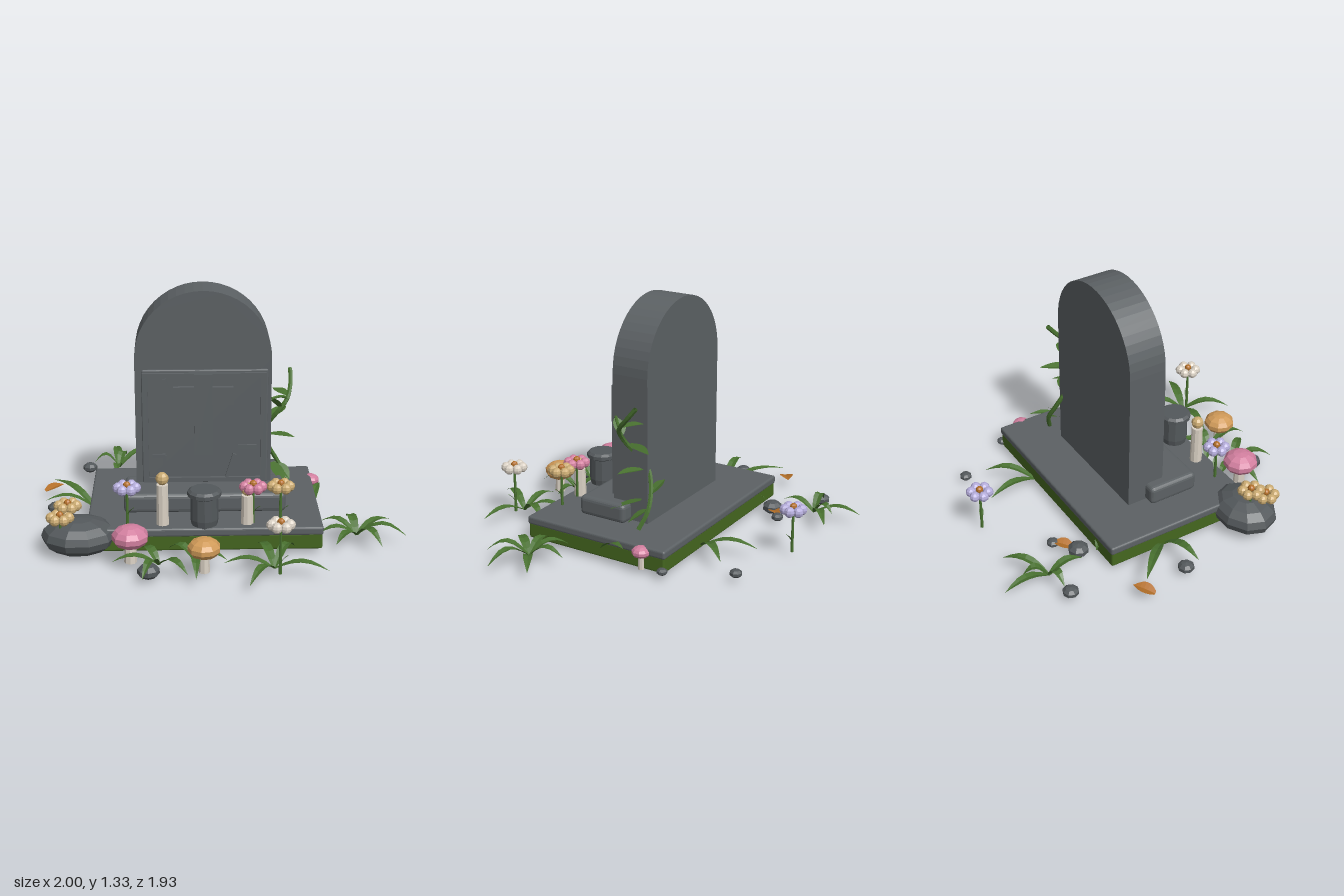
import * as THREE from 'three';
import { RoundedBoxGeometry } from 'three/addons/geometries/RoundedBoxGeometry.js';

const mat = (name, color, extra = {}) => {
  const m = new THREE.MeshStandardMaterial({ color, flatShading: true, ...extra });
  m.name = name;
  return m;
};

export function createModel() {
  const M = {
    stone: mat('stone', 0x5c6164),
    pebble: mat('darkStone', 0x53585b),
    moss: mat('moss', 0x44661f),
    leaf: mat('leafGreen', 0x48702f, { side: THREE.DoubleSide }),
    pink: mat('pink', 0xd27f9f),
    orange: mat('orange', 0xd09a58),
    tan: mat('tan', 0xcbab72),
    lavender: mat('lavender', 0xb5addb),
    cream: mat('cream', 0xd9d0c3),
    rust: mat('rust', 0xb36f28, { side: THREE.DoubleSide }),
  };
  const root = new THREE.Group();
  root.name = 'graveyardScene';
  const add = (name, geo, m, x = 0, y = 0, z = 0, parent = root) => {
    const mesh = new THREE.Mesh(geo, m);
    mesh.name = name;
    mesh.position.set(x, y, z);
    parent.add(mesh);
    return mesh;
  };
  const group = (name, x, y, z) => {
    const g = new THREE.Group();
    g.name = name;
    g.position.set(x, y, z);
    root.add(g);
    return g;
  };
  // box given by its min and max corners
  const block = (name, m, a, b, r = 0) => {
    const s = b.map((v, i) => v - a[i]);
    const geo = r ? new RoundedBoxGeometry(s[0], s[1], s[2], 2, r) : new THREE.BoxGeometry(...s);
    return add(name, geo, m, ...a.map((v, i) => (v + b[i]) / 2));
  };

  // Slab and plinth
  block('mossySlabBase', M.moss, [-0.705, 0.03, -0.385], [0.53, 0.12, 0.48], 0.01);
  block('slabTop', M.stone, [-0.71, 0.11, -0.39], [0.535, 0.157, 0.485], 0.012);
  block('plinth', M.stone, [-0.52, 0.15, -0.02], [0.35, 0.26, 0.27], 0.025);

  // Headstone with round top
  const cx = -0.088, r = 0.367, cy = 0.966;
  const arch = new THREE.Shape();
  arch.moveTo(cx - r, 0.15);
  arch.lineTo(cx + r, 0.15);
  arch.lineTo(cx + r, cy);
  arch.absarc(cx, cy, r, 0, Math.PI, false);
  const archGeo = new THREE.ExtrudeGeometry(arch, { depth: 0.215, bevelEnabled: false, curveSegments: 12 });
  add('headstone', archGeo, M.stone, 0, 0, -0.127);

  // Inset panel, frame, cross and cracks
  block('panel', M.stone, [-0.42, 0.26, 0.08], [0.26, 0.905, 0.1], 0.008);
  block('frameTop', M.stone, [-0.415, 0.865, 0.09], [0.25, 0.89, 0.117]);
  block('frameBottom', M.stone, [-0.415, 0.27, 0.09], [0.25, 0.295, 0.117]);
  for (const x of [-0.415, 0.22]) block('frameSide', M.stone, [x, 0.27, 0.09], [x + 0.03, 0.89, 0.117]);
  block('crossUpright', M.stone, [-0.138, 0.43, 0.09], [-0.04, 0.885, 0.127]);
  block('crossArm', M.stone, [-0.25, 0.715, 0.09], [0.072, 0.815, 0.126]);
  for (const [x, y, len, tilt] of [[-0.275, 0.785, 0.15, 0.3], [0.06, 0.36, 0.14, -0.3],
    [-0.3, 0.38, 0.08, 0], [-0.33, 0.42, 0.07, 1.57], [0.15, 0.47, 0.1, 1.57]]) {
    add('crack', new THREE.BoxGeometry(0.02, len, 0.02), M.stone, x, y, 0.1).rotation.z = tilt;
  }

  // Boulder and pebbles
  const stone = (name, m, x, y, z, sx, sy, sz, w = 8, h = 6) => {
    add(name, new THREE.SphereGeometry(1, w, h), m, x, y, z).scale.set(sx, sy, sz);
  };
  stone('boulder', M.pebble, -0.75, 0.105, 0.43, 0.2, 0.1, 0.165, 10, 8);
  for (const [x, z, s] of [[-0.765, -0.67, 0.045], [-0.51, -0.475, 0.058], [-0.395, -0.565, 0.035],
    [0.355, -0.71, 0.035], [0.54, -0.38, 0.03], [-0.92, -0.065, 0.046], [-0.38, 0.755, 0.06]]) {
    stone('pebble', M.pebble, x, 0.05, z, s, s * 0.65, s, 8, 5);
  }

  // Mushrooms
  for (const [x, y, z, s, m] of [[-0.475, 0.172, 0.605, 0.098, M.pink], [-0.098, 0.162, 0.73, 0.087, M.orange],
    [0.535, 0.127, -0.25, 0.052, M.pink]]) {
    const g = group('mushroom', x, 0, z);
    add('mushroomStem', new THREE.CylinderGeometry(s * 0.28, s * 0.34, y - 0.03, 8), M.cream, 0, (y + 0.03) / 2, 0, g);
    add('mushroomCap', new THREE.SphereGeometry(1, 9, 7), m, 0, y, 0, g).scale.set(s, s * 0.63, s);
  }

  // Candles with round flames
  for (const [x, top] of [[-0.31, 0.38], [0.135, 0.315]]) {
    const g = group('candle', x, 0, 0.415);
    add('candleBody', new THREE.CylinderGeometry(0.031, 0.034, top - 0.15, 10), M.cream, 0, (top + 0.15) / 2, 0, g);
    add('candleFlame', new THREE.SphereGeometry(0.035, 8, 6), M.tan, 0, top + 0.033, 0, g);
  }

  // Vase
  const vase = [[0, 0.15], [0.068, 0.15], [0.075, 0.19], [0.072, 0.31], [0.09, 0.32], [0.09, 0.34], [0.075, 0.352], [0, 0.352]];
  add('vase', new THREE.LatheGeometry(vase.map(p => new THREE.Vector2(...p)), 12), M.pebble, -0.09, 0, 0.415);

  // Tapered, lightly folded blade along an arched path
  const blade = (name, from, to, lift, width, m = M.leaf) => {
    const a = new THREE.Vector3(...from), b = new THREE.Vector3(...to), n = 6;
    const side = new THREE.Vector3(b.z - a.z, 0, a.x - b.x).normalize();
    const pos = [], idx = [];
    for (let i = 0; i <= n; i++) {
      const t = i / n;
      const p = a.clone().lerp(b, t);
      p.y += lift * Math.sin(Math.PI * t);
      const w = width * 0.5 * Math.sin(Math.PI * (0.12 + 0.88 * t));
      for (const k of [-1, 0, 1]) pos.push(p.x + side.x * w * k, p.y - (k ? 0 : w * 0.3), p.z + side.z * w * k);
      if (i < n) for (const k of [0, 1]) {
        const q = i * 3 + k;
        idx.push(q, q + 1, q + 3, q + 1, q + 4, q + 3);
      }
    }
    const geo = new THREE.BufferGeometry();
    geo.setAttribute('position', new THREE.Float32BufferAttribute(pos, 3));
    geo.setIndex(idx);
    geo.computeVertexNormals();
    return add(name, geo, m);
  };

  // Grass tufts: root x, z, height of tips, then blade tips
  const tufts = [
    [-0.59, -0.7, 0.07, [[-0.62, -0.97], [-0.38, -0.86], [-0.74, -0.69], [-0.6, -0.5], [-0.55, -0.83]]],
    [0.14, -0.38, 0.07, [[0.08, -0.69], [0.32, -0.6]]],
    [-0.69, -0.06, 0.11, [[-0.95, -0.33], [-0.97, -0.02]]],
    [0.73, 0.33, 0.06, [[0.94, 0.18], [0.54, 0.2], [0.99, 0.4], [0.52, 0.35], [0.7, 0.13], [0.84, 0.53], [0.6, 0.5]]],
    [0.26, 0.72, 0.06, [[0, 0.7], [0.12, 0.96], [0.38, 0.5], [0.53, 0.8], [0.19, 0.46]]],
    [-0.14, 0.63, 0.06, [[-0.01, 0.48], [-0.28, 0.51], [-0.14, 0.88], [0.02, 0.66]]],
    [-0.33, 0.66, 0.06, [[-0.57, 0.67], [-0.18, 0.83], [-0.41, 0.88], [-0.42, 0.5]]],
    [0.5, 0.04, 0.14, [[0.58, -0.17]]],
    [-0.53, -0.34, 0.05, [[-0.57, -0.4]]],
  ];
  for (const [x, z, tip, ends] of tufts) {
    ends.forEach(([ex, ez], i) => blade('grassBlade', [x, 0.04, z], [ex, tip, ez], 0.05 + 0.012 * (i % 3), 0.052));
  }

  // Flowers: six round petals on a stem
  for (const [x, y, z, base, m] of [[-0.495, 0.363, 0.415, 0.15, M.lavender], [0.165, 0.362, 0.415, 0.15, M.pink],
    [0.31, 0.363, 0.415, 0.15, M.tan], [0.285, 0.3, 0.765, 0.03, M.cream], [-0.065, 0.275, -0.82, 0.03, M.lavender],
    [-0.805, 0.27, 0.425, 0.15, M.tan], [-0.84, 0.235, 0.5, 0.13, M.tan]]) {
    const g = group('flower', x, 0, z);
    add('flowerStem', new THREE.CylinderGeometry(0.007, 0.009, y - base, 6), M.leaf, 0, (y + base) / 2, 0, g);
    add('flowerCentre', new THREE.SphereGeometry(0.02, 8, 6), M.rust, 0, y + 0.016, 0, g);
    for (let i = 0; i < 6; i++) {
      const t = i * Math.PI / 3;
      add('petal', new THREE.SphereGeometry(0.029, 8, 6), m, Math.cos(t) * 0.046, y, Math.sin(t) * 0.046, g);
    }
    if (y - base > 0.15) blade('flowerLeaf', [x, base + 0.06, z], [x + 0.04, base + 0.11, z + 0.02], 0.01, 0.025);
  }

  // Fallen leaves
  blade('fallenLeaf', [-1, 0.05, -0.31], [-0.9, 0.06, -0.38], 0.015, 0.08, M.rust);
  blade('fallenLeaf', [-0.48, 0.05, -0.49], [-0.4, 0.06, -0.57], 0.015, 0.08, M.rust);

  // Vine climbing the left edge, with twigs and leaves
  const tube = (name, pts, rad, seg) => {
    const curve = new THREE.CatmullRomCurve3(pts.map(p => new THREE.Vector3(...p)));
    add(name, new THREE.TubeGeometry(curve, seg, rad, 6), M.leaf);
  };
  tube('vine', [[0.39, 0.17, -0.14], [0.34, 0.27, -0.17], [0.28, 0.38, -0.15], [0.25, 0.47, -0.11], [0.26, 0.54, -0.04],
    [0.31, 0.62, 0], [0.37, 0.7, -0.01], [0.395, 0.78, -0.08], [0.395, 0.84, -0.13]], 0.013, 32);
  tube('vineTwig', [[0.37, 0.71, -0.01], [0.33, 0.73, 0.03], [0.28, 0.73, 0.07]], 0.008, 6);
  const vineLeaves = [[[0.33, 0.66, 0], [0.27, 0.74, 0.07]], [[0.37, 0.72, -0.03], [0.3, 0.73, -0.12]],
    [[0.29, 0.6, -0.02], [0.38, 0.6, -0.2]], [[0.28, 0.47, -0.1], [0.42, 0.47, -0.03]],
    [[0.3, 0.35, -0.16], [0.22, 0.41, -0.2]], [[0.34, 0.27, -0.16], [0.4, 0.2, -0.08]],
    [[0.3, 0.3, -0.1], [0.36, 0.23, 0.06]]];
  for (const [a, b] of vineLeaves) blade('vineLeaf', a, b, 0.01, 0.07);
  return root;
}
